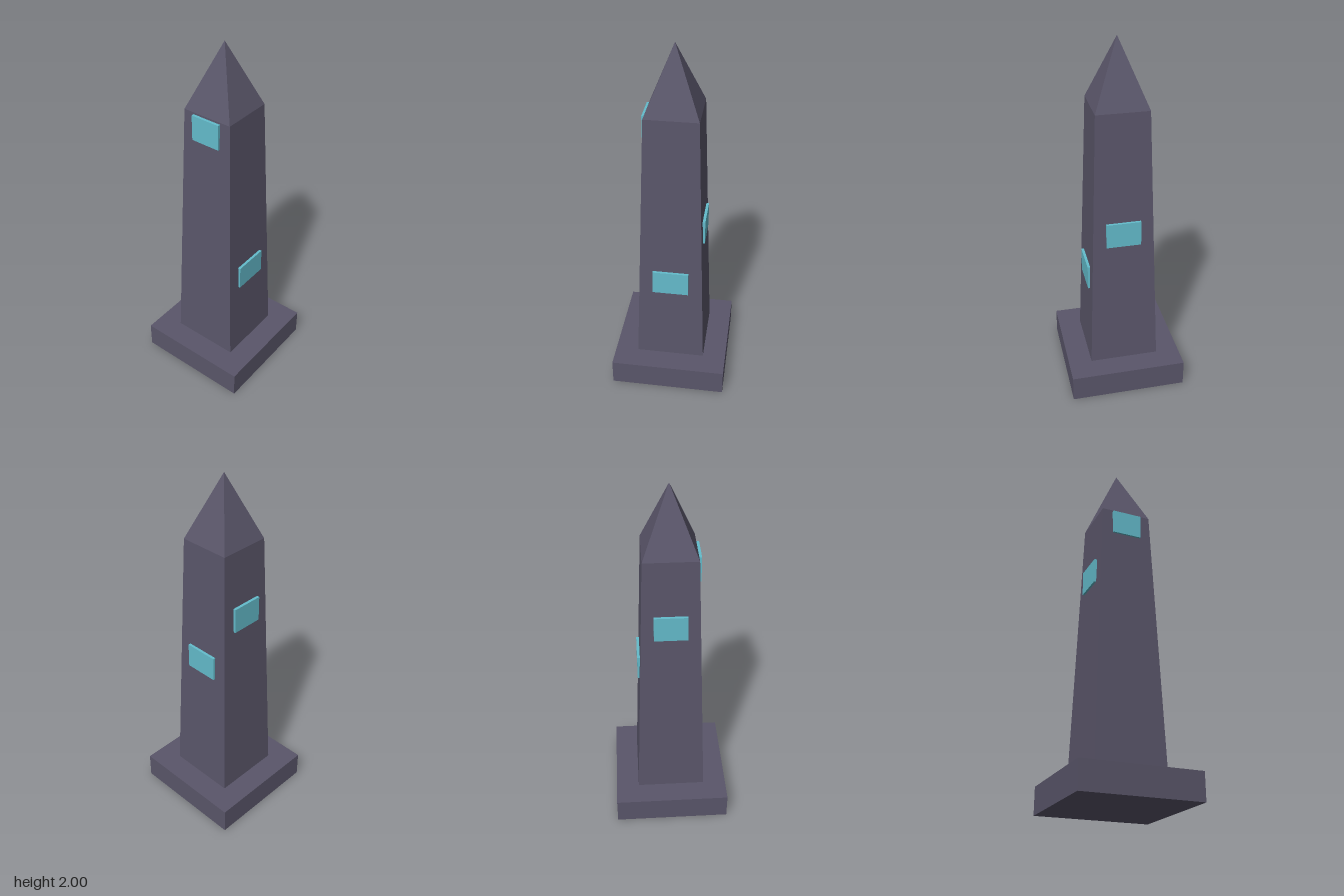
import * as THREE from 'three';

// Four-sided tapered block, square to the axes, given by half widths
function taperedBlock(topHalf, bottomHalf, y0, y1) {
  const g = new THREE.CylinderGeometry(topHalf * Math.SQRT2, bottomHalf * Math.SQRT2, y1 - y0, 4);
  g.rotateY(Math.PI / 4);
  g.translate(0, (y0 + y1) / 2, 0);
  return g;
}

export function createModel() {
  const stone = new THREE.MeshStandardMaterial({ color: 0x5a566a, flatShading: true });
  stone.name = 'dark stone';
  const glow = new THREE.MeshStandardMaterial({ color: 0x64bccc, flatShading: true });
  glow.name = 'pale cyan';

  const group = new THREE.Group();
  group.name = 'obelisk';
  const add = (name, geometry, material) => {
    const mesh = new THREE.Mesh(geometry, material);
    mesh.name = name;
    group.add(mesh);
    return mesh;
  };

  // Plinth, tapering shaft and pointed cap
  add('plinth', new THREE.BoxGeometry(0.65, 0.15, 0.65).translate(0, 0.075, 0), stone);
  add('shaft', taperedBlock(0.142, 0.194, 0.15, 1.65), stone);
  const cap = new THREE.ConeGeometry(0.142 * Math.SQRT2, 0.35, 4);
  add('cap', cap.rotateY(Math.PI / 4).translate(0, 1.825, 0), stone);

  // Upright panels spiralling up the four faces: width, centre height, outer distance
  const panels = [
    ['frontPanel', 0.2, 0.67, 0.188],
    ['leftPanel', 0.19, 0.97, 0.178],
    ['backPanel', 0.178, 1.27, 0.169],
    ['rightPanel', 0.166, 1.57, 0.158],
  ];
  panels.forEach(([name, width, y, outer], i) => {
    const g = new THREE.BoxGeometry(width, 0.14, 0.024);
    g.translate(0, y, outer - 0.012);
    add(name, g, glow).rotation.y = (i * Math.PI) / 2;
  });

  return group;
}
